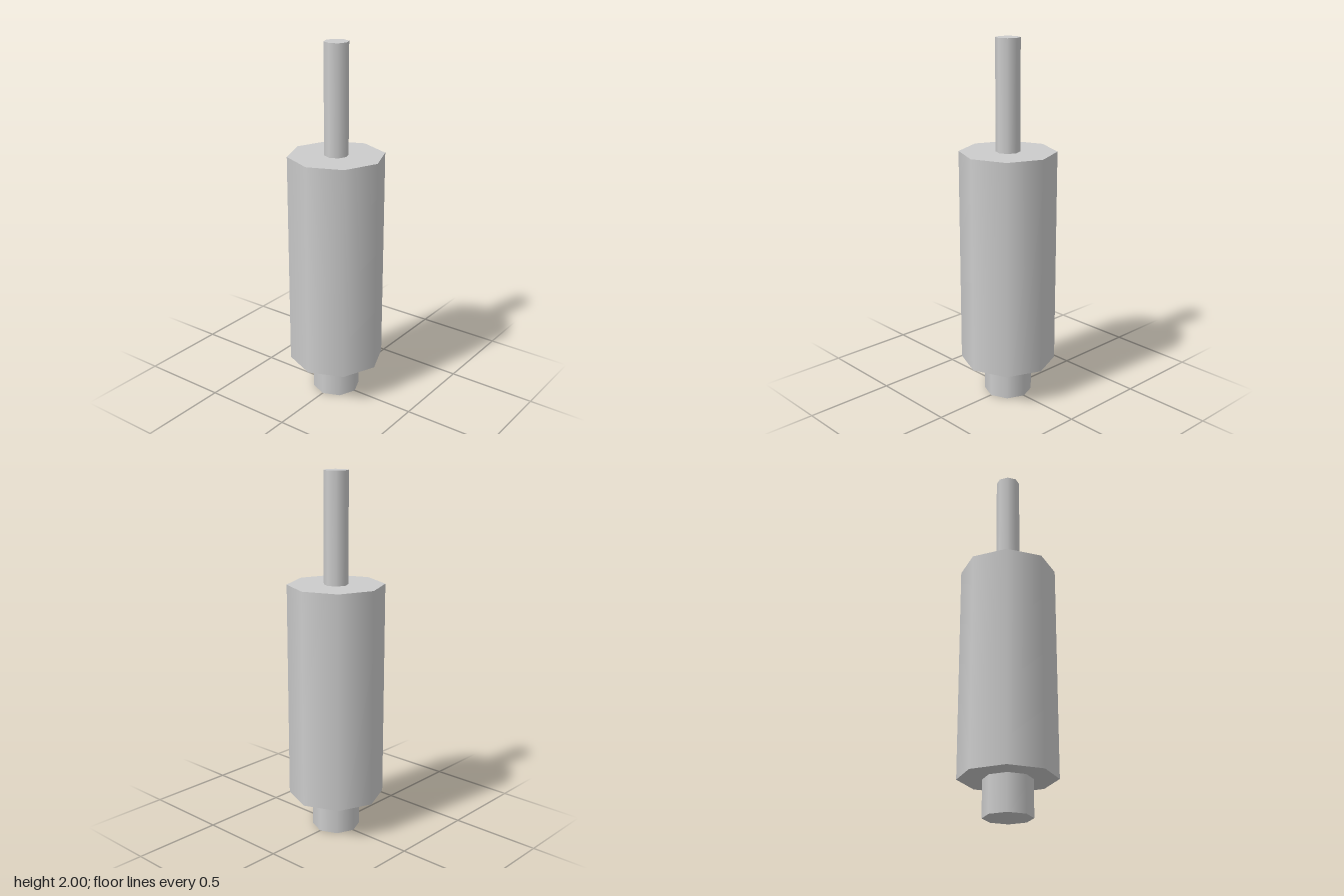
import * as THREE from 'three';

const SIDES = 8;

export function createModel() {
  const model = new THREE.Group();
  const material = new THREE.MeshStandardMaterial({ color: 0xcccccc });

  // Upright eight-sided cylinder with smooth sides, between two heights
  function addCylinder(name, radius, bottom, top) {
    const height = top - bottom;
    const mesh = new THREE.Mesh(new THREE.CylinderGeometry(radius, radius, height, SIDES), material);
    mesh.name = name;
    mesh.position.y = bottom + height / 2;
    model.add(mesh);
  }

  addCylinder('base', 0.132, 0, 0.2);
  addCylinder('body', 0.264, 0.2, 1.4);
  addCylinder('rod', 0.066, 1.4, 2);

  return model;
}
